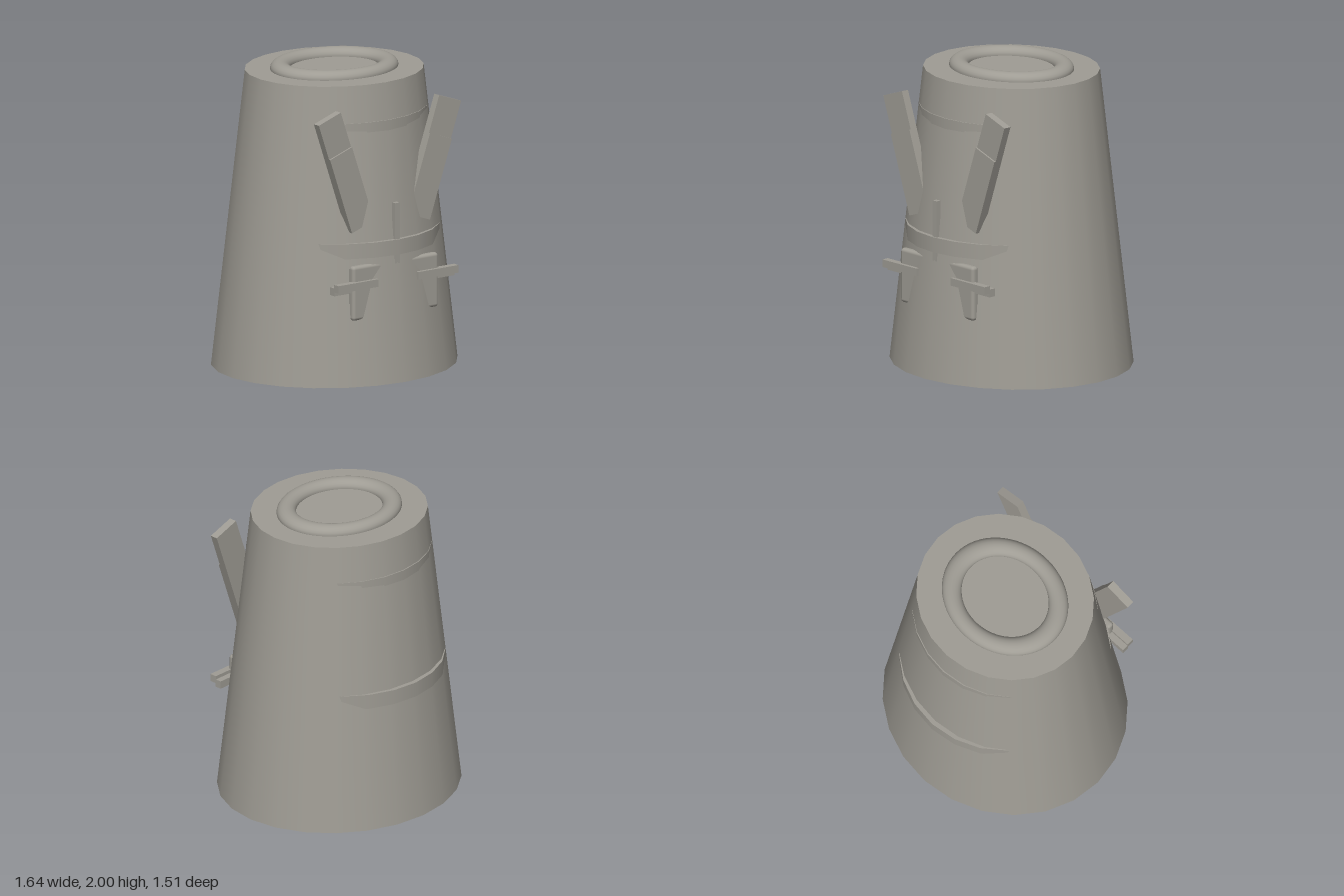
import * as THREE from 'three';
import { RoundedBoxGeometry } from 'three/addons/geometries/RoundedBoxGeometry.js';

// Warm mid grey
const material = new THREE.MeshStandardMaterial({ color: 0x9f9c94 });

export function createModel() {
  const model = new THREE.Group();
  model.name = 'earedTub';

  function add(name, geometry, x, y, z, parent = model) {
    const mesh = new THREE.Mesh(geometry, material);
    mesh.name = name;
    mesh.position.set(x, y, z);
    parent.add(mesh);
    return mesh;
  }

  // Elliptical drum, rTop and rBottom along x, squash = z / x
  function drum(rTop, rBottom, height, squash) {
    return new THREE.CylinderGeometry(rTop, rBottom, height, 24).scale(1, 1, squash);
  }

  // Tapered body with an oval rim on its lid
  add('body', drum(0.595, 0.82, 1.945, 0.922), 0, 0.9725, 0);
  const rim = new THREE.TorusGeometry(0.368, 0.068, 20, 64).rotateX(Math.PI / 2).scale(1, 0.735, 0.855);
  add('lidRim', rim, 0, 1.95, 0);

  // Bands that emerge only at the front and back
  add('belt', drum(0.68, 0.68, 0.1, 1.01), 0, 0.88, 0);
  add('upperBand', drum(0.617, 0.617, 0.1, 0.943), 0, 1.652, 0);

  // Upright bar in the middle of the front
  add('centrePost', new THREE.BoxGeometry(0.038, 0.4, 0.032), 0, 0.97, 0.657);

  for (const [side, s] of [['left', 1], ['right', -1]]) {
    // Splayed ear with a slightly proud lower panel
    const ear = new THREE.Group();
    ear.name = side + 'Ear';
    ear.position.set(s * 0.357, 1.405, 0);
    ear.rotation.z = -s * 0.335;
    model.add(ear);
    add('earBlade', new THREE.BoxGeometry(0.188, 0.792, 0.053), 0, 0, 0.5665, ear);
    add('earPanel', new THREE.BoxGeometry(0.188, 0.54, 0.06), 0, -0.126, 0.574, ear);

    // Rounded plate, half sunk into the body
    add(side + 'Plate', new RoundedBoxGeometry(0.34, 0.36, 0.054, 2, 0.022), s * 0.177, 0.61, 0.632);

    // Two stepped crossbars
    add(side + 'FrontBar', new THREE.BoxGeometry(0.325, 0.05, 0.048), s * 0.323, 0.665, 0.66);
    add(side + 'RearBar', new THREE.BoxGeometry(0.325, 0.052, 0.048), s * 0.323, 0.641, 0.617);
  }
  return model;
}
